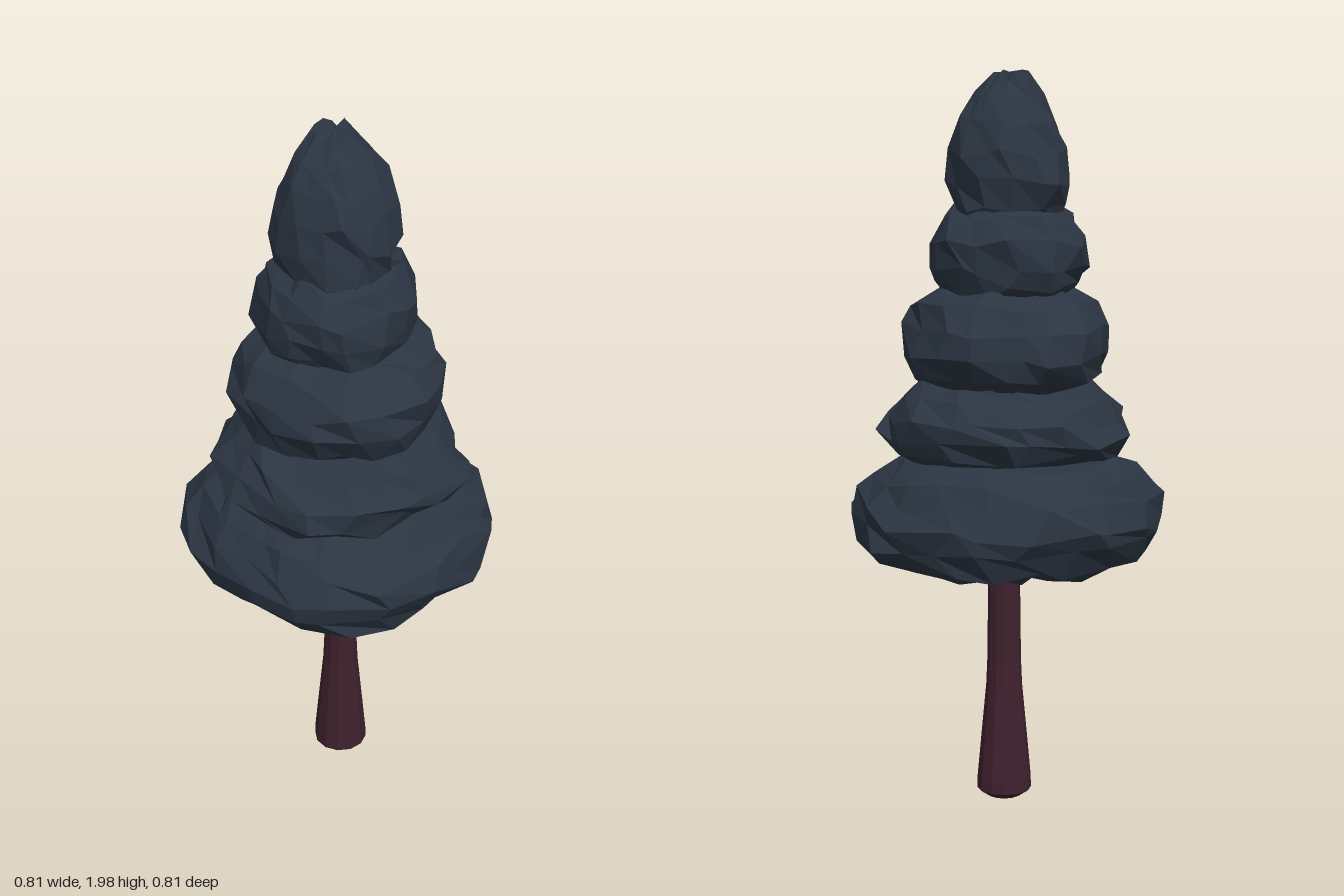
import * as THREE from 'three';
import { mergeVertices } from 'three/addons/utils/BufferGeometryUtils.js';

const foliage = new THREE.MeshStandardMaterial({ color: 0x2b3542, flatShading: true });
foliage.name = 'dark blue-green foliage';
const bark = new THREE.MeshStandardMaterial({ color: 0x3f212d, flatShading: true });
bark.name = 'dark reddish bark';

// Small seeded generator, returns -1..1
function seeded(seed) {
  let s = seed;
  return () => {
    s = (s * 16807) % 2147483647;
    return (s / 2147483647) * 2 - 1;
  };
}

// Turned profile of [radius, y] points, with seam and poles welded
function turned(profile, sides) {
  const geo = new THREE.LatheGeometry(profile.map(([r, y]) => new THREE.Vector2(r, y)), sides);
  geo.deleteAttribute('uv');
  geo.deleteAttribute('normal');
  return mergeVertices(geo, 1e-4);
}

// Plan outline: relative reach at evenly spaced angles, from +x towards +z
function reach(outline, angle) {
  const n = outline.length;
  const t = ((angle / (2 * Math.PI) + 1) % 1) * n;
  const i = Math.floor(t);
  return THREE.MathUtils.lerp(outline[i % n], outline[(i + 1) % n], t - i);
}

// Foliage clump: a turned form with an uneven outline, roughened at random
function clump({ profile, sides, rough, outline }, seed) {
  const rnd = seeded(seed);
  for (let i = 0; i < 5; i++) rnd();
  const geo = turned(profile, sides);
  const p = geo.attributes.position;
  for (let i = 0; i < p.count; i++) {
    const x = p.getX(i), z = p.getZ(i);
    const a = Math.atan2(z, x) + rnd() * 0.85 * Math.PI / sides;
    const r = Math.hypot(x, z) * reach(outline, a) * (1 + rnd() * rough);
    p.setXYZ(i, r * Math.cos(a), p.getY(i) + rnd() * 0.016, r * Math.sin(a));
  }
  geo.computeVertexNormals();
  return geo;
}

export function createModel() {
  const tree = new THREE.Group();
  tree.name = 'pineTree';

  // Trunk with a flared foot and a shallow domed base
  const trunkGeo = turned([
    [0, 0.003], [0.045, 0.015], [0.074, 0.035], [0.073, 0.07], [0.063, 0.18],
    [0.049, 0.33], [0.046, 0.4], [0.043, 0.64], [0.042, 0.72], [0, 0.72],
  ], 12);
  trunkGeo.computeVertexNormals();
  const trunk = new THREE.Mesh(trunkGeo, bark);
  trunk.name = 'trunk';
  trunk.position.x = 0.015;
  tree.add(trunk);

  // Foliage tiers from the bottom up; the lowest spreads into uneven corners
  const round = [1];
  const spread = [1.01, 1.04, 1.1, 1.06, 0.97, 1, 1.02, 1.04, 1, 1.01, 1, 1.01, 1, 1.07, 1.06, 1.04];
  const tiers = [
    { name: 'bottomTier', x: 0, z: 0, sides: 20, rough: 0.045, outline: spread, profile: [
      [0, 0.65], [0.13, 0.65], [0.25, 0.67], [0.345, 0.705], [0.392, 0.76],
      [0.405, 0.815], [0.385, 0.875], [0.342, 0.925], [0.28, 0.962], [0, 0.985]] },
    { name: 'secondTier', x: 0.02, z: 0.012, sides: 18, rough: 0.06, outline: round, profile: [
      [0, 0.955], [0.25, 0.955], [0.305, 0.985], [0.335, 1.03],
      [0.327, 1.075], [0.28, 1.125], [0.235, 1.16], [0, 1.18]] },
    { name: 'middleTier', x: 0.016, z: 0.012, sides: 17, rough: 0.06, outline: round, profile: [
      [0, 1.145], [0.2, 1.15], [0.25, 1.18], [0.285, 1.245],
      [0.282, 1.315], [0.24, 1.375], [0.17, 1.41], [0, 1.42]] },
    { name: 'fourthTier', x: 0.013, z: 0.012, sides: 15, rough: 0.07, outline: round, profile: [
      [0, 1.37], [0.15, 1.375], [0.19, 1.415], [0.212, 1.47],
      [0.207, 1.54], [0.175, 1.595], [0.13, 1.63], [0, 1.64]] },
    { name: 'crownTier', x: 0.006, z: 0.012, sides: 14, rough: 0.075, outline: round, profile: [
      [0, 1.575], [0.12, 1.58], [0.152, 1.62], [0.163, 1.69], [0.156, 1.77],
      [0.128, 1.85], [0.092, 1.91], [0.05, 1.965], [0, 1.98]] },
  ];
  tiers.forEach((spec, i) => {
    const tier = new THREE.Mesh(clump(spec, 4711 + i * 977), foliage);
    tier.name = spec.name;
    tier.position.set(spec.x, 0, spec.z);
    tree.add(tier);
  });

  return tree;
}
